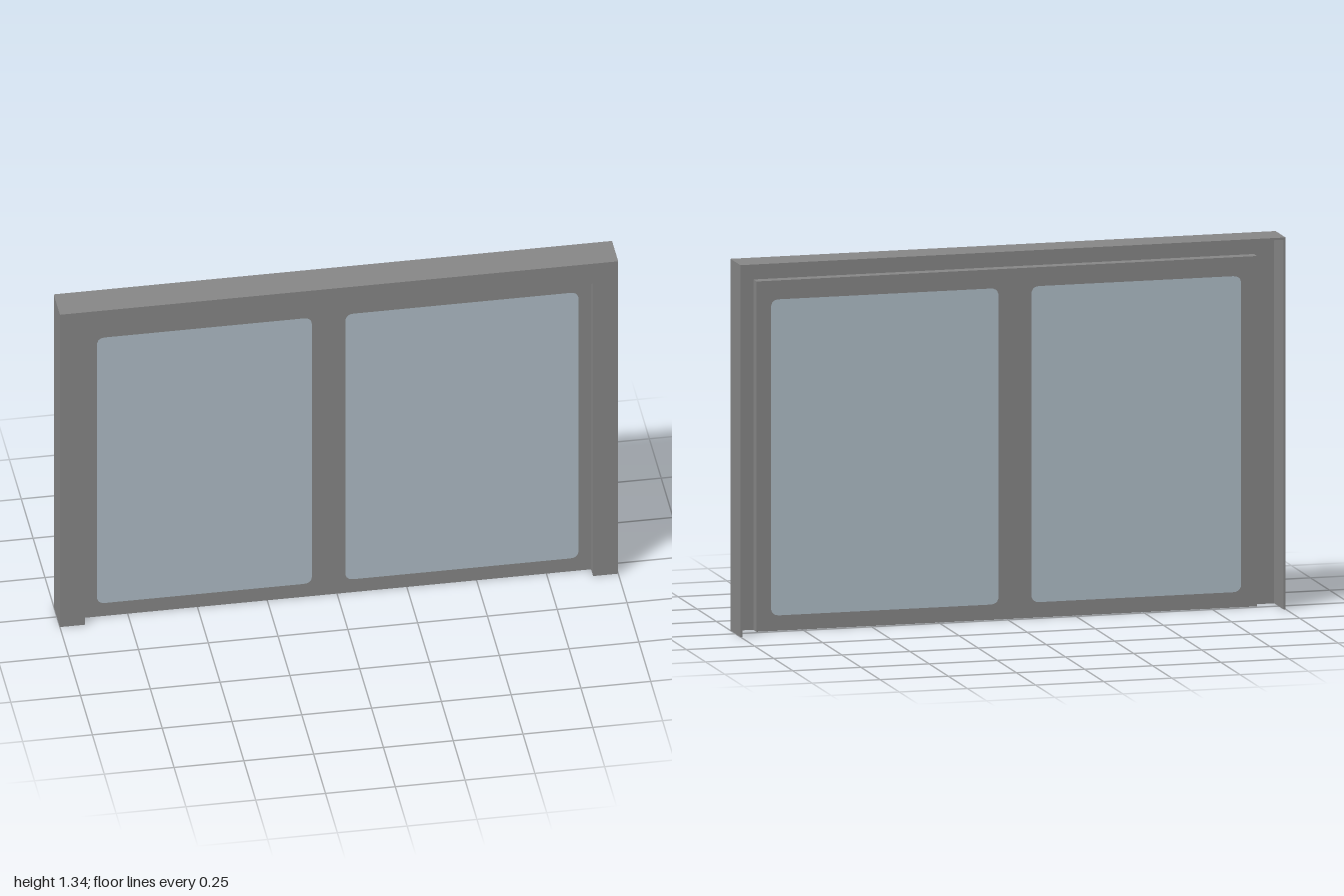
import * as THREE from 'three';

const frameGrey = new THREE.MeshStandardMaterial({ color: 0x888888 });
frameGrey.name = 'frame grey';
const paleGlass = new THREE.MeshStandardMaterial({ color: 0xb1bfc9 });
paleGlass.name = 'pale blue glass';

const SHEET = 0.008; // thickness of the folded sheet

// Upside-down U, standing on y = 0, with legs of equal width
function uShape(w, h, innerW, innerH) {
  return new THREE.Shape([
    [-w, 0], [-innerW, 0], [-innerW, innerH], [innerW, innerH],
    [innerW, 0], [w, 0], [w, h], [-w, h],
  ].map(([x, y]) => new THREE.Vector2(x, y)));
}

// Rectangle with rounded corners
function roundedRect(path, x0, y0, x1, y1, r) {
  path.moveTo(x0 + r, y0);
  path.lineTo(x1 - r, y0);
  path.quadraticCurveTo(x1, y0, x1, y0 + r);
  path.lineTo(x1, y1 - r);
  path.quadraticCurveTo(x1, y1, x1 - r, y1);
  path.lineTo(x0 + r, y1);
  path.quadraticCurveTo(x0, y1, x0, y1 - r);
  path.lineTo(x0, y0 + r);
  path.quadraticCurveTo(x0, y0, x0 + r, y0);
  return path;
}

// Flat plate between two depths
function plate(name, shape, zBack, zFront, material) {
  const geometry = new THREE.ExtrudeGeometry(shape, {
    depth: zFront - zBack, bevelEnabled: false, curveSegments: 5,
  });
  geometry.translate(0, 0, zBack);
  const mesh = new THREE.Mesh(geometry, material);
  mesh.name = name;
  return mesh;
}

export function createModel() {
  const model = new THREE.Group();
  model.name = 'slidingWindow';

  // Surround: a folded channel, open at the back and below
  const surround = new THREE.Group();
  surround.name = 'surround';
  surround.add(
    plate('outerWall', uShape(1, 1.335, 1 - SHEET, 1.335 - SHEET), -0.065, 0.065, frameGrey),
    plate('frontFace', uShape(1 - SHEET, 1.335 - SHEET, 0.91, 1.25), 0.065 - SHEET, 0.065, frameGrey),
    plate('innerReturn', uShape(0.91 + SHEET, 1.25 + SHEET, 0.91, 1.25), 0.022, 0.065 - SHEET, frameGrey),
  );
  model.add(surround);

  // Window panel with two panes, recessed behind the front face
  const half = 0.91 + SHEET;
  const panel = new THREE.Shape([
    new THREE.Vector2(-half, 0), new THREE.Vector2(half, 0),
    new THREE.Vector2(half, 1.25 + SHEET), new THREE.Vector2(-half, 1.25 + SHEET),
  ]);
  const panes = [['rightPane', -0.86, -0.09], ['leftPane', 0.03, 0.865]];
  for (const [name, x0, x1] of panes) {
    panel.holes.push(roundedRect(new THREE.Path(), x0, 0.055, x1, 1.19, 0.03));
    const glass = roundedRect(new THREE.Shape(), x0, 0.055, x1, 1.19, 0.03);
    model.add(plate(name, glass, 0.016, 0.022, paleGlass));
  }
  model.add(plate('windowPanel', panel, 0.016, 0.022, frameGrey));

  return model;
}
